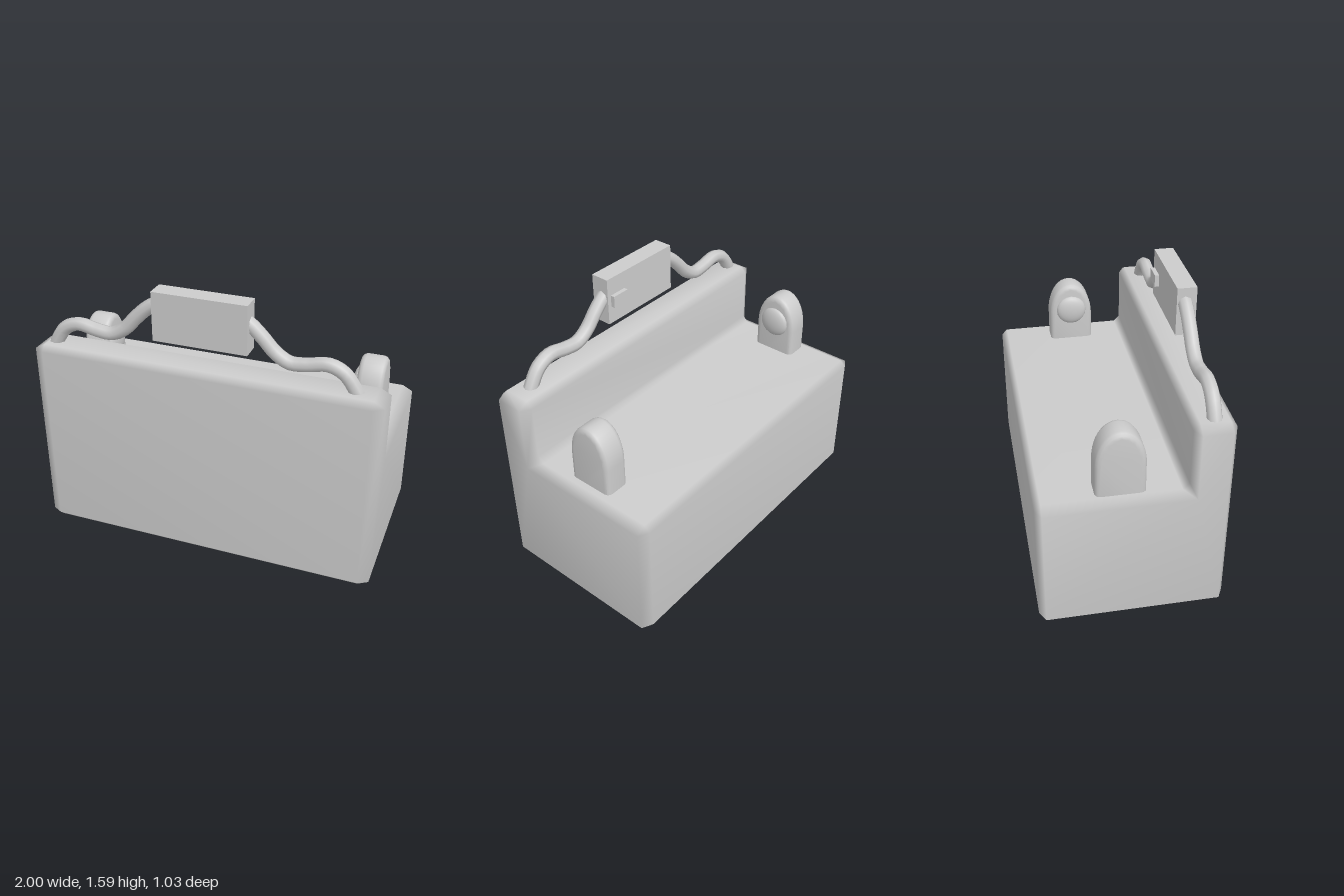
import * as THREE from 'three';
import { toCreasedNormals } from 'three/addons/utils/BufferGeometryUtils.js';

const grey = new THREE.MeshStandardMaterial({ color: 0xcccccc });

function addMesh(parent, name, geometry, x = 0, y = 0, z = 0) {
  const mesh = new THREE.Mesh(geometry, grey);
  mesh.name = name;
  mesh.position.set(x, y, z);
  parent.add(mesh);
  return mesh;
}

// Stepped L-section block: chamfered in the middle, tapering to sharp, inset end caps
function bodyGeometry() {
  const corners = [
    [-0.515, 0], [-0.515, 0.785], [0.29, 0.785],
    [0.29, 1.18], [0.515, 1.18], [0.515, 0],
  ]; // (z, y)
  const n = corners.length, chamfer = 0.035, inset = 0.033;
  const full = [], cap = [];
  corners.forEach(([z, y], i) => {
    const [pz, py] = corners[(i + n - 1) % n];
    const [nz, ny] = corners[(i + 1) % n];
    const a = [Math.sign(z - pz), Math.sign(y - py)]; // incoming edge
    const b = [Math.sign(nz - z), Math.sign(ny - y)]; // outgoing edge
    full.push([z - a[0] * chamfer, y - a[1] * chamfer], [z + b[0] * chamfer, y + b[1] * chamfer]);
    cap.push([z + (a[1] + b[1]) * inset, y - (a[0] + b[0]) * inset]);
  });

  const position = [], index = [];
  const ring = (points, x) => {
    const start = position.length / 3;
    points.forEach(([z, y]) => position.push(x, y, z));
    return start;
  };
  const c0 = ring(cap, -1), f0 = ring(full, -0.94), f1 = ring(full, 0.94), c1 = ring(cap, 1);
  const m = full.length;
  for (let i = 0; i < m; i++) {
    const j = (i + 1) % m;
    const ci = i >> 1, cj = j >> 1;
    index.push(f0 + i, f0 + j, f1 + j, f0 + i, f1 + j, f1 + i);
    index.push(c0 + ci, f0 + j, f0 + i, c1 + ci, f1 + i, f1 + j);
    if (ci !== cj) index.push(c0 + ci, c0 + cj, f0 + j, c1 + ci, f1 + j, c1 + cj);
  }
  // End faces, fanned from the inner corner of the step
  for (let k = 3; k < n + 1; k++) {
    const p = k % n, q = (k + 1) % n;
    index.push(c1 + 2, c1 + p, c1 + q, c0 + 2, c0 + q, c0 + p);
  }
  const g = new THREE.BufferGeometry();
  g.setAttribute('position', new THREE.Float32BufferAttribute(position, 3));
  g.setIndex(index);
  g.computeVertexNormals();
  return g;
}

// Round-topped upright with softened rims, thickness along x
function postGeometry() {
  const bevel = 0.03, half = 0.135 - bevel;
  const s = new THREE.Shape();
  s.moveTo(-half, 0.7);
  s.lineTo(half, 0.7);
  s.lineTo(half, 0.95);
  s.absellipse(0, 0.95, half, 0.21 - bevel, 0, Math.PI, false);
  s.lineTo(-half, 0.7);
  const g = new THREE.ExtrudeGeometry(s, {
    depth: 0.09, bevelThickness: bevel, bevelSize: bevel, bevelSegments: 3, curveSegments: 10,
  });
  g.translate(0, 0, -0.045);
  g.rotateY(Math.PI / 2);
  return toCreasedNormals(g, 0.7);
}

export function createModel() {
  const model = new THREE.Group();
  model.name = 'steppedCase';
  addMesh(model, 'body', bodyGeometry());

  // Wavy cable rising from the top of the front wall and through the box
  const half = [
    [0.89, 1.12], [0.865, 1.18], [0.8, 1.27], [0.715, 1.305], [0.6, 1.285], [0.51, 1.28],
    [0.43, 1.325], [0.36, 1.4], [0.29, 1.465], [0.22, 1.505],
  ];
  const mid = -0.033;
  const path = [
    ...half.map(([x, y]) => new THREE.Vector3(mid - x, y, 0.407)),
    new THREE.Vector3(mid, 1.52, 0.407),
    ...half.map(([x, y]) => new THREE.Vector3(mid + x, y, 0.407)).reverse(),
  ];
  addMesh(model, 'cable', new THREE.TubeGeometry(new THREE.CatmullRomCurve3(path), 72, 0.04, 8));

  // Box carried by the cable, with a small button on its back
  addMesh(model, 'controlBox', new THREE.BoxGeometry(0.535, 0.28, 0.11), -0.003, 1.45, 0.415);
  addMesh(model, 'button', new THREE.BoxGeometry(0.11, 0.07, 0.03), 0.185, 1.45, 0.35);

  // Two posts on the rear ledge, each with a shallow dome on its inner face
  const post = postGeometry();
  for (const side of [-1, 1]) {
    const group = new THREE.Group();
    group.name = side < 0 ? 'rightPost' : 'leftPost';
    group.position.set(-0.0125 + side * 0.8425, 0, -0.065);
    model.add(group);
    addMesh(group, 'post', post);
    const dome = addMesh(group, 'dome',
      new THREE.SphereGeometry(1, 20, 6, 0, Math.PI * 2, 0, Math.PI / 2), -side * 0.074, 0.99, 0);
    dome.scale.set(0.095, 0.037, 0.095);
    dome.rotation.z = side * Math.PI / 2;
  }
  return model;
}
